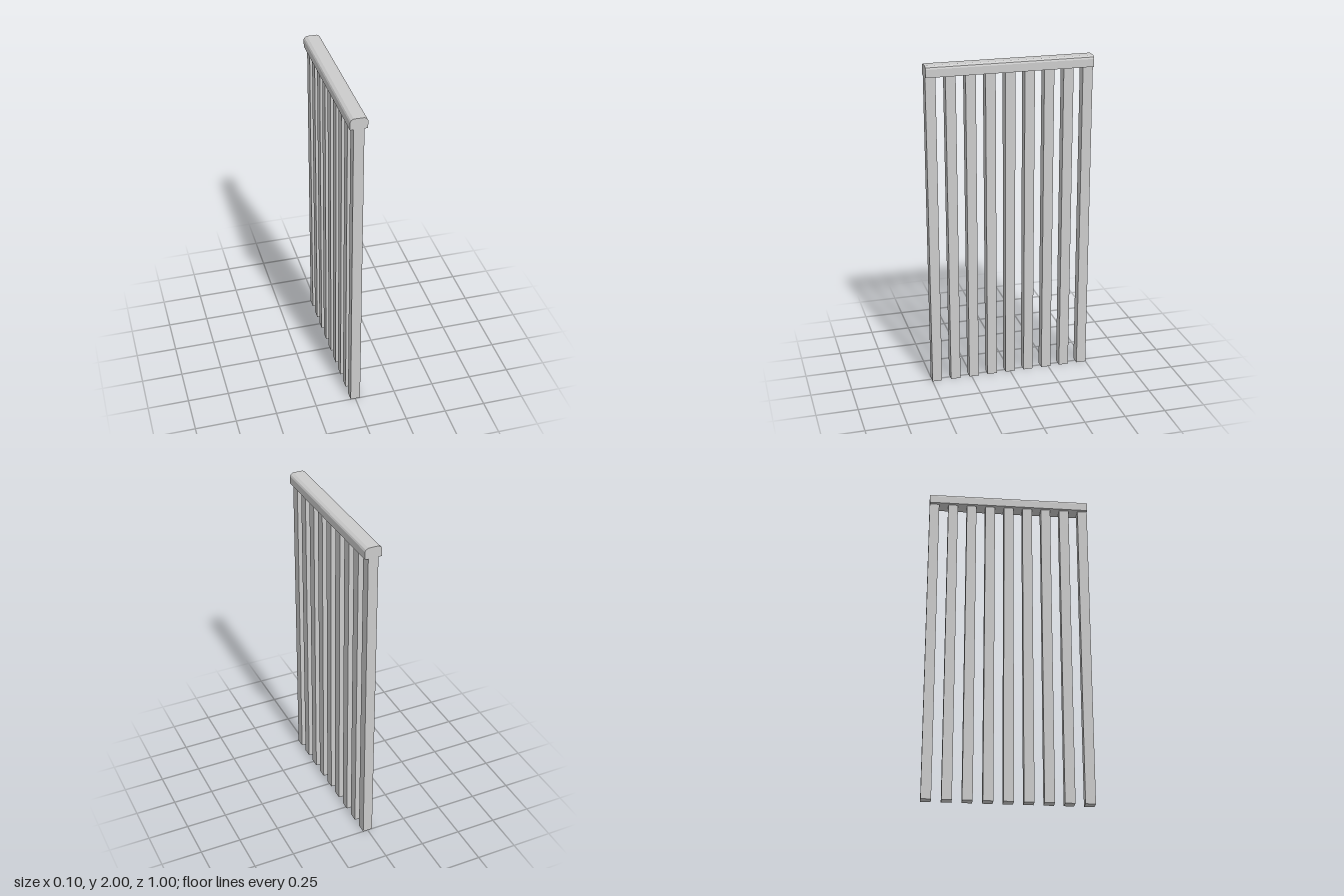
import * as THREE from 'three';

const material = new THREE.MeshStandardMaterial({ color: 0xcccccc, flatShading: true });

function addMesh(group, name, geometry, x, y, z) {
  const mesh = new THREE.Mesh(geometry, material);
  mesh.name = name;
  mesh.position.set(x, y, z);
  group.add(mesh);
}

export function createModel() {
  const group = new THREE.Group();
  group.name = 'balustrade';

  const length = 1, railBottom = 1.934, post = 0.06, count = 9;

  // Square balusters, evenly spaced from end to end
  const balusterGeometry = new THREE.BoxGeometry(post, railBottom, post);
  const span = length - post;
  for (let i = 0; i < count; i++) {
    const z = span / 2 - (span * i) / (count - 1);
    addMesh(group, `baluster${i + 1}`, balusterGeometry, 0, railBottom / 2, z);
  }

  // Handrail with eased top edges, extruded along z
  const half = [[0.05, railBottom], [0.05, 1.981], [0.045, 1.991], [0.03, 2]];
  const mirrored = half.map(([x, y]) => [-x, y]).reverse();
  const profile = new THREE.Shape([...half, ...mirrored].map(([x, y]) => new THREE.Vector2(x, y)));
  const railGeometry = new THREE.ExtrudeGeometry(profile, { depth: length, bevelEnabled: false });
  addMesh(group, 'handrail', railGeometry, 0, 0, -length / 2);

  return group;
}
